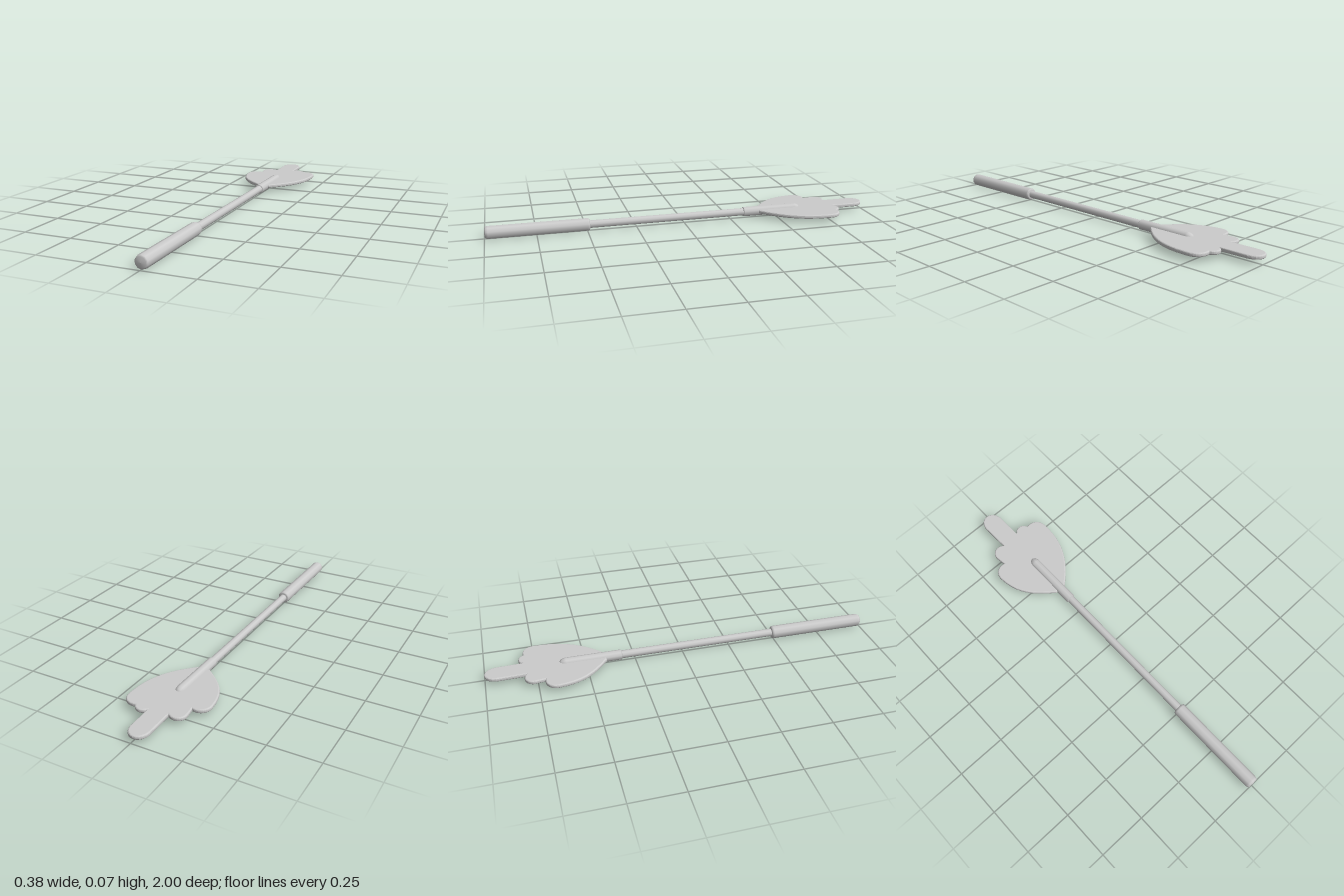
import * as THREE from 'three';

const material = new THREE.MeshStandardMaterial({ color: 0xcccccc });
const AXIS_X = 0.003, AXIS_Y = 0.035;

// Round part along z from [radius, z] pairs, listed with increasing z
function turned(name, profile) {
  const geometry = new THREE.LatheGeometry(profile.map(([r, z]) => new THREE.Vector2(r, z)), 10);
  geometry.rotateX(Math.PI / 2);
  const mesh = new THREE.Mesh(geometry, material);
  mesh.name = name;
  mesh.position.set(AXIS_X, AXIS_Y, 0);
  return mesh;
}

// Flat hand outline; shape y points towards the back (-z)
function handShape() {
  const s = new THREE.Shape();
  s.moveTo(0.03, 0.4);
  s.bezierCurveTo(0.12, 0.48, 0.19, 0.57, 0.19, 0.72);
  s.bezierCurveTo(0.195, 0.785, 0.16, 0.81, 0.113, 0.803);
  // small knuckle right of the raised finger
  s.bezierCurveTo(0.1, 0.835, 0.06, 0.84, 0.042, 0.81);
  // raised finger
  s.lineTo(0.04, 0.945);
  s.bezierCurveTo(0.03, 1.017, -0.055, 1.02, -0.062, 0.945);
  s.lineTo(-0.058, 0.8);
  // two knuckles left of the finger
  s.bezierCurveTo(-0.085, 0.825, -0.135, 0.81, -0.132, 0.765);
  s.lineTo(-0.125, 0.715);
  s.bezierCurveTo(-0.16, 0.725, -0.195, 0.7, -0.194, 0.66);
  s.bezierCurveTo(-0.185, 0.53, -0.125, 0.475, -0.03, 0.4);
  s.closePath();
  return s;
}

export function createModel() {
  const group = new THREE.Group();
  group.name = 'handSwatter';

  group.add(turned('grip', [
    [0, 0.488], [0.025, 0.488], [0.031, 0.492], [0.033, 0.5],
    [0.033, 0.982], [0.031, 0.992], [0.025, 0.998], [0, 1],
  ]));
  group.add(turned('rod', [[0, -0.35], [0.02, -0.35], [0.02, 0.5], [0, 0.5]]));

  // Socket holding the hand, rounded at its far end
  group.add(turned('socket', [
    [0, -0.636], [0.011, -0.632], [0.019, -0.624], [0.0245, -0.61],
    [0.0255, -0.6], [0.0255, -0.322], [0.022, -0.318], [0, -0.318],
  ]));

  // Thin hand plate with a rounded rim
  const bevel = 0.007;
  const plate = new THREE.ExtrudeGeometry(handShape(), {
    depth: 0.02 - 2 * bevel, curveSegments: 10,
    bevelEnabled: true, bevelThickness: bevel, bevelSize: bevel,
    bevelOffset: -bevel, bevelSegments: 3,
  });
  plate.rotateX(-Math.PI / 2);
  const hand = new THREE.Mesh(plate, material);
  hand.name = 'handPlate';
  hand.position.y = AXIS_Y - 0.01 + bevel;
  group.add(hand);

  return group;
}
